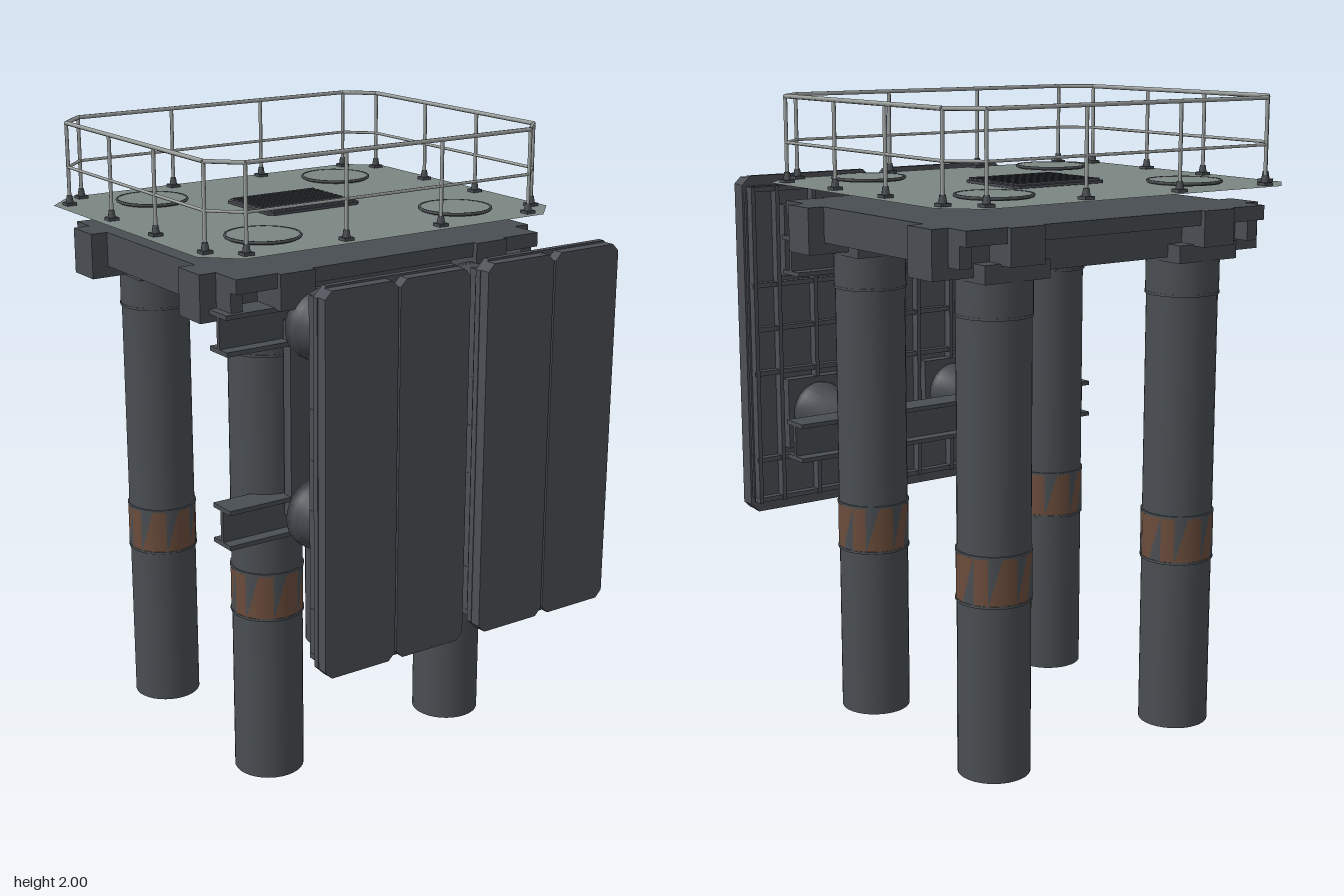
import * as THREE from 'three';

const mat = (name, color, side = THREE.FrontSide) => {
  const m = new THREE.MeshStandardMaterial({ color, side });
  m.name = name;
  return m;
};

export function createModel() {
  const root = new THREE.Group();
  root.name = 'mooringDolphin';
  const steel = mat('pile steel', 0x494e52);
  const panelMat = mat('panel grey', 0x4c4f56);
  const deckMat = mat('deck grey', 0x7b8582, THREE.DoubleSide);
  const rubber = mat('fender rubber', 0x45494e);
  const rust = mat('rust', 0x6a4c3b);
  const railMat = mat('rail grey', 0x9da29f);

  const add = (name, geo, material, x = 0, y = 0, z = 0, parent = root) => {
    const m = new THREE.Mesh(geo, material);
    m.name = name;
    m.position.set(x, y, z);
    parent.add(m);
    return m;
  };
  // box given by its minimum and maximum corners
  const box = (name, material, [x0, y0, z0], [x1, y1, z1], parent = root) =>
    add(name, new THREE.BoxGeometry(x1 - x0, y1 - y0, z1 - z0), material,
      (x0 + x1) / 2, (y0 + y1) / 2, (z0 + z1) / 2, parent);
  // rectangle with cut corners
  const cutRect = (x0, y0, x1, y1, c) => new THREE.Shape([
    [x0 + c, y0], [x1 - c, y0], [x1, y0 + c], [x1, y1 - c],
    [x1 - c, y1], [x0 + c, y1], [x0, y1 - c], [x0, y0 + c],
  ].map(p => new THREE.Vector2(...p)));
  const flat = geo => geo.rotateX(-Math.PI / 2);
  const extrude = (shape, depth) =>
    new THREE.ExtrudeGeometry(shape, { depth, bevelEnabled: false });
  // straight round bar between two points
  const bar = (name, a, b, r, material) => {
    const d = b.clone().sub(a);
    const m = add(name, new THREE.CylinderGeometry(r, r, d.length(), 6), material);
    m.position.copy(a).addScaledVector(d, 0.5);
    m.quaternion.setFromUnitVectors(new THREE.Vector3(0, 1, 0), d.normalize());
  };
  // I-beam running along x
  const iBeam = (name, len, y0, y1, z0, z1) => {
    const g = new THREE.Group(), t = 0.014, h = len / 2, zc = (z0 + z1) / 2;
    g.name = name;
    box('bottomFlange', steel, [-h, y0, z0], [h, y0 + t, z1], g);
    box('topFlange', steel, [-h, y1 - t, z0], [h, y1, z1], g);
    box('web', steel, [-h, y0 + t, zc - t / 2], [h, y1 - t, zc + t / 2], g);
    root.add(g);
  };

  // Deck sheet with cut corners (shape y is -z)
  add('deck', flat(new THREE.ShapeGeometry(cutRect(-0.65, -0.365, 0.65, 0.73, 0.1))), deckMat, 0, 1.73, 0);

  // Under-deck slab and girders
  box('deckSlab', steel, [-0.56, 1.62, -0.65], [0.56, 1.665, 0.33]);
  for (const s of [-1, 1]) {
    box('sideGirder', steel, [s * 0.36 - 0.06, 1.555, -0.666], [s * 0.36 + 0.06, 1.665, 0.347]);
    box('edgeGirder', steel, [s * 0.54 - 0.02, 1.555, -0.62], [s * 0.54 + 0.02, 1.665, 0.3]);
  }
  for (const z of [0.16, -0.505])
    box('crossHead', steel, [-0.615, 1.52, z - 0.06], [0.615, 1.665, z + 0.06]);
  box('middleGirder', steel, [-0.54, 1.57, -0.21], [0.54, 1.64, -0.13]);

  // Piles with collars, caps, patchy rust bands and deck covers
  for (const x of [-0.36, 0.36]) for (const z of [0.16, -0.505]) {
    add('pile', new THREE.CylinderGeometry(0.111, 0.111, 1.53, 32), steel, x, 0.765, z);
    add('pileCollar', new THREE.CylinderGeometry(0.114, 0.114, 0.115, 32), steel, x, 1.4575, z);
    for (const y of [1.4, 0.7, 0.55])
      add('weldRing', new THREE.CylinderGeometry(0.116, 0.116, 0.008, 24), steel, x, y, z);
    box('pileCap', steel, [x - 0.115, 1.505, z - 0.115], [x + 0.115, 1.56, z + 0.115]);

    const band = new THREE.CylinderGeometry(0.115, 0.115, 0.15, 16, 1, true);
    band.clearGroups();
    for (let k = 0; k < 32; k++) band.addGroup(k * 3, 3, k % 7 === 2 || k % 7 === 5 ? 1 : 0);
    add('rustBand', band, [rust, steel], x, 0.625, z);

    add('pileCover', new THREE.CylinderGeometry(0.11, 0.11, 0.01, 24), deckMat, x, 1.738, z);
    add('coverRim', new THREE.TorusGeometry(0.113, 0.005, 6, 24).rotateX(Math.PI / 2), steel, x, 1.74, z);
  }

  // Hatch grating in the deck
  add('hatch', flat(extrude(cutRect(-0.175, 0.085, 0.17, 0.354, 0.015), 0.008)), panelMat, 0, 1.732, 0);
  for (let i = 0; i < 10; i++)
    box('hatchSlat', panelMat, [-0.16, 1.74, -0.34 + i * 0.026], [0.155, 1.747, -0.326 + i * 0.026]);

  // Guard rail: two rails on an eight-sided path, posts and feet
  const path = [
    [-0.52, 0.325], [-0.175, 0.325], [0.175, 0.325], [0.52, 0.325],
    [0.605, 0.24], [0.605, -0.045], [0.605, -0.32], [0.605, -0.605],
    [0.52, -0.69], [0.175, -0.69], [-0.175, -0.69], [-0.52, -0.69],
    [-0.605, -0.605], [-0.605, -0.32], [-0.605, -0.045], [-0.605, 0.24],
  ];
  path.forEach(([x, z], i) => {
    const [nx, nz] = path[(i + 1) % path.length];
    const at = (px, y, pz) => new THREE.Vector3(px, y, pz);
    bar('topRail', at(x, 1.993, z), at(nx, 1.993, nz), 0.007, railMat);
    bar('midRail', at(x, 1.853, z), at(nx, 1.853, nz), 0.005, railMat);
    bar('railPost', at(x, 1.735, z), at(x, 1.993, z), 0.006, railMat);
    box('railFoot', steel, [x - 0.017, 1.731, z - 0.017], [x + 0.017, 1.74, z + 0.017]);
    add('railSocket', new THREE.CylinderGeometry(0.009, 0.013, 0.025, 8), steel, x, 1.75, z);
  });

  // Fender support beams across the front piles
  iBeam('upperFenderBeam', 1.17, 1.437, 1.56, 0.22, 0.315);
  iBeam('lowerFenderBeam', 1.17, 0.84, 0.965, 0.22, 0.315);

  // Fender units: two rubber cones and one panel on each side
  const profile = [
    [0, 0.32], [0.11, 0.32], [0.11, 0.355], [0.098, 0.36], [0.098, 0.375], [0.088, 0.4],
    [0.079, 0.44], [0.075, 0.49], [0.077, 0.54], [0.085, 0.585], [0.095, 0.61],
    [0.1, 0.615], [0.1, 0.635], [0, 0.635],
  ].map(p => new THREE.Vector2(...p));
  for (const cx of [-0.28, 0.28]) {
    const unit = new THREE.Group();
    unit.name = 'fenderUnit';
    unit.position.x = cx;
    root.add(unit);
    box('backingPlate', steel, [-0.09, 0.9, 0.28], [0.09, 1.51, 0.318], unit);
    for (const y of [0.9, 1.495]) {
      add('fenderCone', new THREE.LatheGeometry(profile, 28).rotateX(Math.PI / 2), rubber, 0, y, 0, unit);
      box('fenderMount', steel, [-0.12, y - 0.12, 0.628], [0.12, y + 0.12, 0.67], unit);
    }
    // Panel body with stiffeners on its back
    add('panelBody', extrude(cutRect(-0.243, 0.6, 0.243, 1.68, 0.02), 0.027), panelMat, 0, 0, 0.665, unit);
    add('panelRim', extrude(cutRect(-0.25, 0.562, 0.25, 1.713, 0.03), 0.02), panelMat, 0, 0, 0.675, unit);
    for (const x of [-0.23, -0.14, 0, 0.14, 0.23])
      box('verticalStiffener', panelMat, [x - 0.007, 0.6, 0.635], [x + 0.007, 1.68, 0.668], unit);
    for (const y of [0.61, 0.75, 1.05, 1.2, 1.35, 1.67])
      box('crossStiffener', panelMat, [-0.238, y - 0.008, 0.64], [0.238, y + 0.008, 0.668], unit);
    // Facing pads with a narrow groove between them
    for (const s of [-1, 1])
      add('facingPad', extrude(cutRect(s * 0.1255 - 0.1225, 0.568, s * 0.1255 + 0.1225, 1.707, 0.022), 0.036),
        panelMat, 0, 0, 0.694, unit);
  }
  return root;
}
